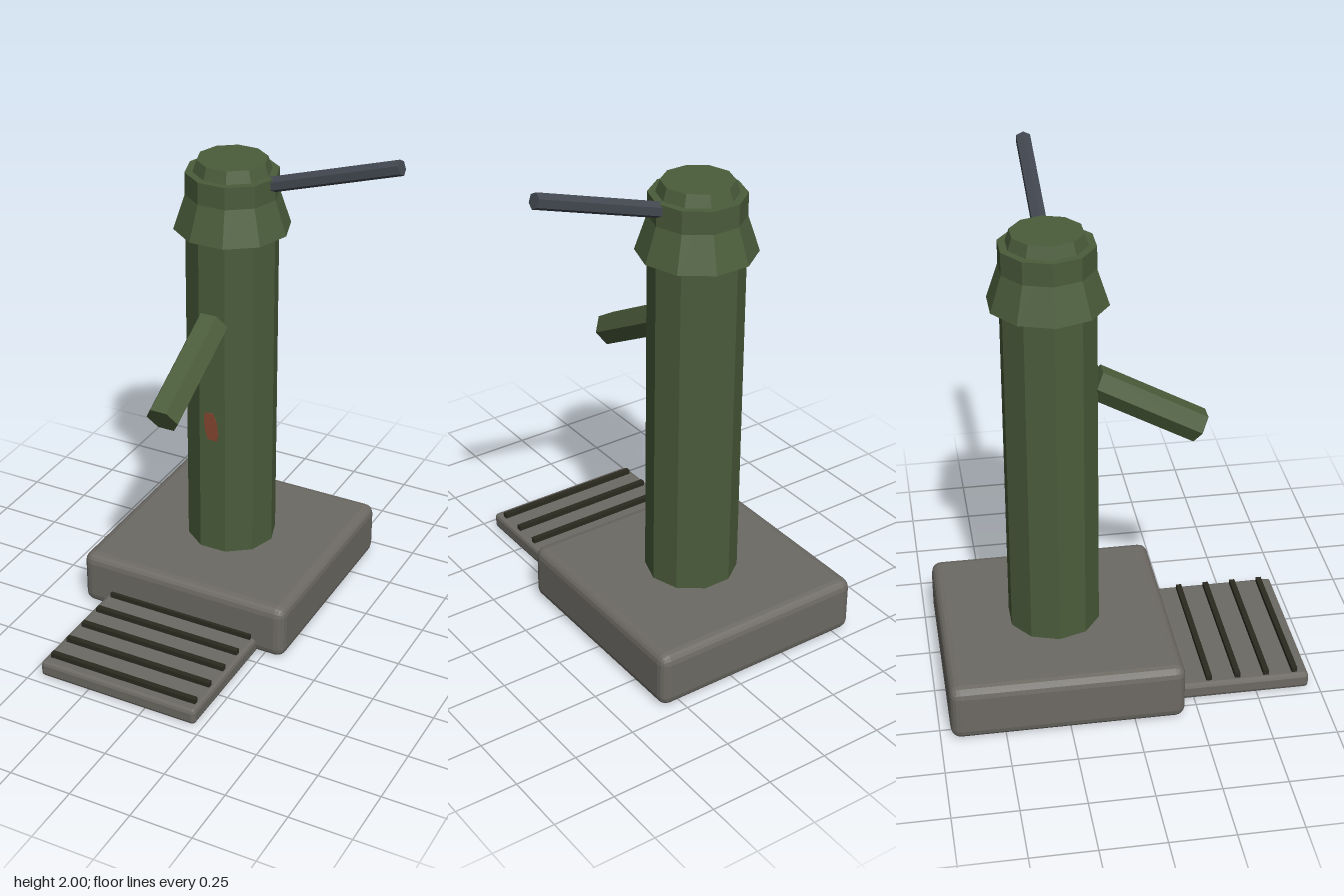
import * as THREE from 'three';
import { RoundedBoxGeometry } from 'three/addons/geometries/RoundedBoxGeometry.js';

// Axis of the pump column
const CX = -0.12, CZ = -0.256;

const material = (name, color) => {
  const m = new THREE.MeshStandardMaterial({ color });
  m.name = name;
  return m;
};

// Gives every face its own flat normal
function faceted(geometry) {
  const g = geometry.index ? geometry.toNonIndexed() : geometry;
  g.computeVertexNormals();
  return g;
}

export function createModel() {
  const green = material('painted green metal', 0x4b5d3b);
  const stone = material('grey stone', 0x6d6a64);
  const iron = material('dark slate iron', 0x434851);
  const slot = material('drain black', 0x2b2a20);
  const rust = material('rust red', 0x85462f);

  const model = new THREE.Group();
  model.name = 'handPump';

  const add = (name, geometry, mat, x = 0, y = 0, z = 0) => {
    const mesh = new THREE.Mesh(faceted(geometry), mat);
    mesh.name = name;
    mesh.position.set(x, y, z);
    model.add(mesh);
    return mesh;
  };

  // Ten-sided upright section with corners on the x axis
  const section = (name, rTop, rBottom, y0, y1) => {
    const g = new THREE.CylinderGeometry(rTop, rBottom, y1 - y0, 10);
    g.rotateY(Math.PI / 2);
    return add(name, g, green, CX, (y0 + y1) / 2, CZ);
  };

  // Six-sided rod between two points
  const rod = (name, from, to, radius, mat, twist) => {
    const a = new THREE.Vector3(...from), b = new THREE.Vector3(...to);
    const g = new THREE.CylinderGeometry(radius, radius, a.distanceTo(b), 6);
    g.rotateY(twist);
    const mesh = add(name, g, mat);
    mesh.position.lerpVectors(a, b, 0.5);
    mesh.quaternion.setFromUnitVectors(new THREE.Vector3(0, 1, 0), b.sub(a).normalize());
    return mesh;
  };

  // Plinth and drain plate
  add('plinth', new RoundedBoxGeometry(0.91, 0.23, 0.906, 2, 0.04), stone, CX, 0.115, -0.257);
  add('drainPlate', new RoundedBoxGeometry(0.68, 0.065, 0.57, 1, 0.015), stone, -0.122, 0.0325, 0.425);

  // Drain bars
  for (let i = 0; i < 5; i++) {
    add('drainBar', new THREE.BoxGeometry(0.638, 0.03, 0.022), slot, -0.121, 0.07, 0.199 + i * 0.114);
  }

  // Column and flared cap
  section('column', 0.182, 0.182, 0.2, 1.833);
  section('cap', 0.137, 0.228, 1.605, 1.88);

  // Spout and lever
  rod('spout', [CX, 1.26, -0.087], [CX, 1.036, 0.315], 0.067, green, Math.PI / 2);
  rod('lever', [0.0, 1.79, CZ], [0.563, 1.968, CZ], 0.031, iron, Math.PI / 2);

  // Rust patch on the front facet
  const patch = new THREE.Shape([
    [-0.155, 0.835], [-0.15, 0.862], [-0.115, 0.867], [-0.099, 0.825],
    [-0.092, 0.77], [-0.098, 0.744], [-0.138, 0.746], [-0.15, 0.785],
  ].map(([x, y]) => new THREE.Vector2(x, y)));
  add('rustPatch', new THREE.ExtrudeGeometry(patch, { depth: 0.006, bevelEnabled: false }),
    rust, 0, 0, CZ + 0.182 * Math.cos(Math.PI / 10) - 0.002);

  return model;
}
